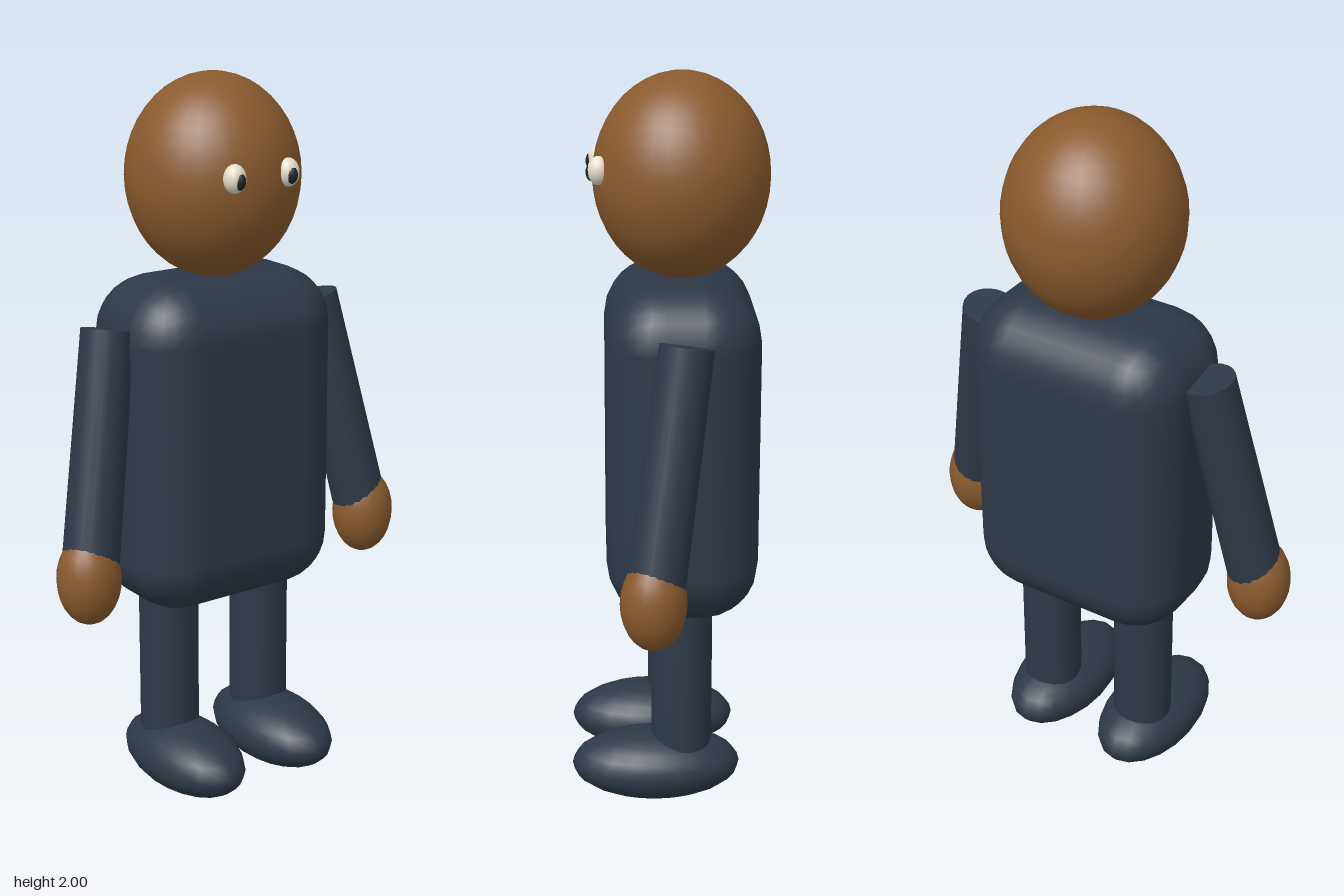
import * as THREE from 'three';
import { RoundedBoxGeometry } from 'three/addons/geometries/RoundedBoxGeometry.js';

function material(name, color) {
  const m = new THREE.MeshStandardMaterial({ color });
  m.name = name;
  return m;
}

export function createModel() {
  const skin = material('brown skin', 0x8a5a2e);
  const cloth = material('dark blue cloth', 0x2e3947);
  const white = material('eye cream', 0xeee4d0);
  const dark = material('pupil dark', 0x20242c);

  const model = new THREE.Group();
  model.name = 'figure';
  const body = new THREE.Group();
  body.name = 'body';
  body.rotation.y = Math.PI / 4; // the figure stands turned towards its left
  model.add(body);

  function add(name, geometry, mat, x, y, z) {
    const mesh = new THREE.Mesh(geometry, mat);
    mesh.name = name;
    mesh.position.set(x, y, z);
    body.add(mesh);
    return mesh;
  }

  function ellipsoid(name, mat, pos, radii, segments = 20) {
    const g = new THREE.SphereGeometry(1, segments, Math.round(segments * 0.7));
    g.scale(...radii);
    return add(name, g, mat, ...pos);
  }

  // Tapered limb between two points
  function limb(name, mat, from, to, rTop, rBottom) {
    const a = new THREE.Vector3(...from);
    const b = new THREE.Vector3(...to);
    const dir = a.clone().sub(b);
    const mid = a.clone().add(b).multiplyScalar(0.5);
    const g = new THREE.CylinderGeometry(rTop, rBottom, dir.length(), 20);
    const mesh = add(name, g, mat, mid.x, mid.y, mid.z);
    mesh.quaternion.setFromUnitVectors(new THREE.Vector3(0, 1, 0), dir.normalize());
    return mesh;
  }

  const midZ = -0.082;

  // Torso and head
  add('torso', new RoundedBoxGeometry(0.635, 0.92, 0.41, 3, 0.155), cloth, 0, 1.01, midZ);
  ellipsoid('head', skin, [0, 1.728, midZ], [0.237, 0.272, 0.235], 32);

  for (const [side, s] of [['left', 1], ['right', -1]]) {
    // Arm and hand
    limb(side + 'Arm', cloth, [s * 0.339, 1.355, midZ], [s * 0.457, 0.75, 0], 0.071, 0.077);
    ellipsoid(side + 'Hand', skin, [s * 0.467, 0.71, 0.006], [0.087, 0.126, 0.087]);

    // Leg and foot
    limb(side + 'Leg', cloth, [s * 0.156, 0.65, midZ], [s * 0.156, 0.1, midZ], 0.083, 0.083);
    ellipsoid(side + 'Foot', cloth, [s * 0.154, 0.1, -0.011], [0.131, 0.097, 0.233]);

    // Eye and pupil
    ellipsoid(side + 'Eye', white, [s * 0.085, 1.756, 0.136], [0.031, 0.038, 0.03], 16);
    ellipsoid(side + 'Pupil', dark, [s * 0.083, 1.752, 0.154], [0.017, 0.024, 0.016], 12);
  }

  return model;
}
